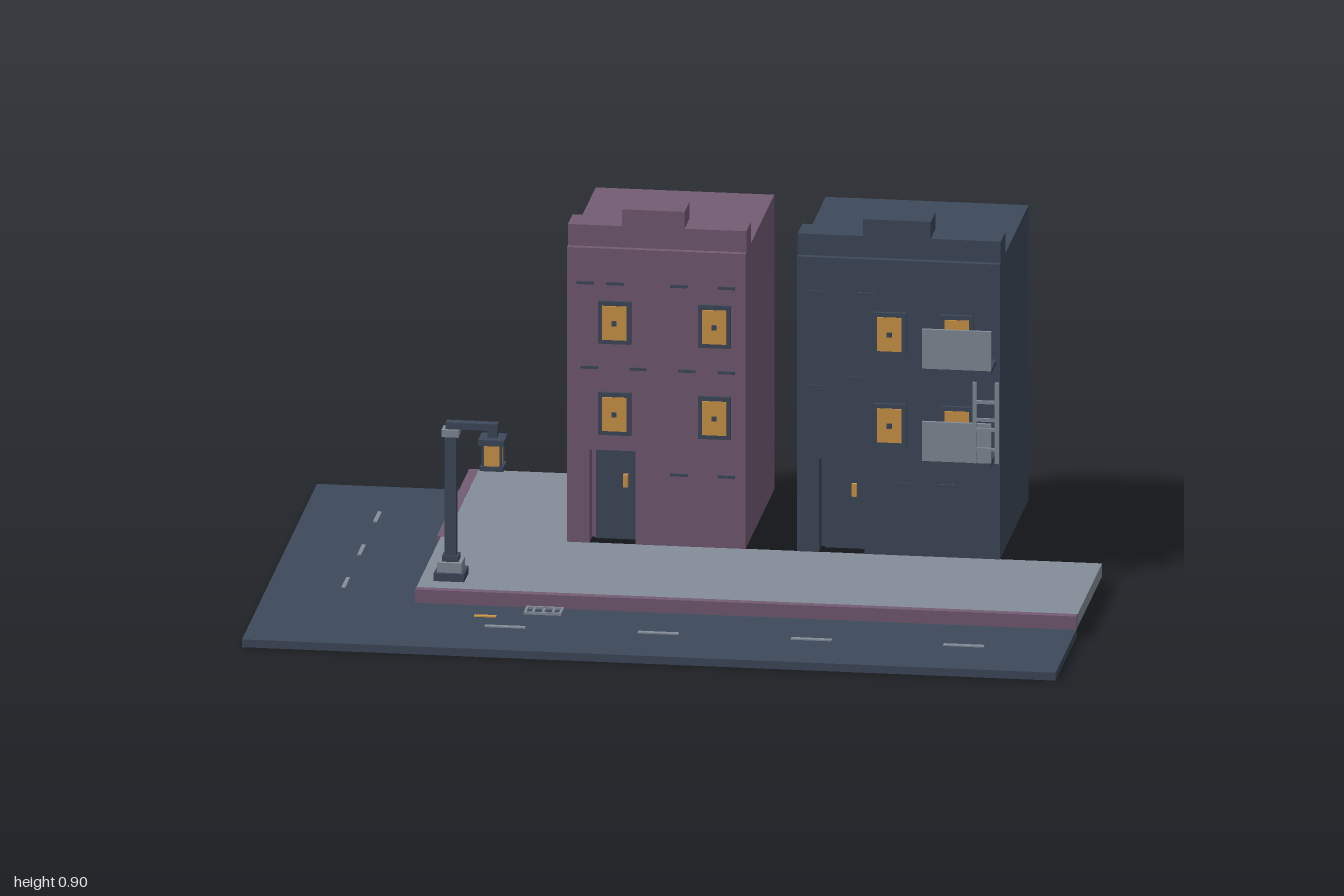
import * as THREE from 'three';

const mat = (name, color) => {
  const m = new THREE.MeshStandardMaterial({ color });
  m.name = name;
  return m;
};

export function createModel() {
  const navy = mat('navy', 0x3d495a);
  const plum = mat('plum', 0x745c74);
  const grey = mat('grey', 0x848d99);
  const amber = mat('amber', 0xd2984a);

  const model = new THREE.Group();
  model.name = 'streetCorner';
  const group = (name, parent = model) => {
    const g = new THREE.Group();
    g.name = name;
    parent.add(g);
    return g;
  };
  // Box given by its [min, max] extents on each axis
  const box = (parent, name, m, [x0, x1], [y0, y1], [z0, z1]) => {
    const mesh = new THREE.Mesh(new THREE.BoxGeometry(x1 - x0, y1 - y0, z1 - z0), m);
    mesh.position.set((x0 + x1) / 2, (y0 + y1) / 2, (z0 + z1) / 2);
    mesh.name = name;
    parent.add(mesh);
    return mesh;
  };
  const around = (c, size) => [c - size / 2, c + size / 2];
  // L-shaped slab: points are [x, z] on plan
  const slab = (parent, name, m, points, y, height) => {
    const shape = new THREE.Shape(points.map(([x, z]) => new THREE.Vector2(x, -z)));
    const geo = new THREE.ExtrudeGeometry(shape, { depth: height, bevelEnabled: false });
    geo.rotateX(-Math.PI / 2);
    const mesh = new THREE.Mesh(geo, m);
    mesh.position.y = y;
    mesh.name = name;
    parent.add(mesh);
  };

  // Ground
  const GROUND = 0.02, WALK = 0.053;
  const street = group('street');
  slab(street, 'road', navy,
    [[-1, 0.685], [1, 0.685], [1, 0.315], [-0.625, 0.315], [-0.625, -0.625], [-1, -0.625]], 0, GROUND);
  slab(street, 'sidewalk', grey,
    [[-0.625, 0.303], [1, 0.303], [1, -0.127], [-0.315, -0.127], [-0.315, -0.69],
      [-0.612, -0.69], [-0.612, -0.127], [-0.625, -0.127]], GROUND, WALK - GROUND);
  box(street, 'frontCurb', plum, [-0.625, 1], [GROUND, WALK + 0.001], [0.303, 0.324]);
  box(street, 'sideCurb', plum, [-0.635, -0.612], [GROUND, WALK + 0.001], [-0.69, -0.127]);

  // Road markings
  const mark = [GROUND, GROUND + 0.003];
  for (const x of [-0.38, -0.003, 0.373, 0.748]) box(street, 'laneMark', grey, around(x, 0.1), mark, around(0.495, 0.014));
  for (const z of [-0.368, -0.09, 0.185]) box(street, 'laneMark', grey, around(-0.815, 0.01), mark, around(z, 0.084));
  box(street, 'paperScrap', amber, [-0.467, -0.413], mark, [0.408, 0.42]);

  // Drain grate
  const drain = group('drain', street);
  const grate = [GROUND, GROUND + 0.006];
  for (const z of [0.332, 0.38]) box(drain, 'drainFrame', grey, [-0.35, -0.258], grate, around(z, 0.006));
  for (const x of [-0.347, -0.261]) box(drain, 'drainFrame', grey, around(x, 0.006), grate, [0.335, 0.377]);
  for (const x of [-0.328, -0.304, -0.28]) box(drain, 'drainBar', grey, around(x, 0.006), grate, [0.341, 0.371]);

  // Buildings
  const FRONT = -0.125, RECESS = 0.05, ROOF = 0.803;
  const window_ = (parent, x, y) => {
    const w = group('window', parent);
    box(w, 'windowFrame', navy, around(x, 0.08), around(y, 0.108), [FRONT, FRONT + 0.009]);
    box(w, 'windowGlass', amber, around(x, 0.06), around(y, 0.086), [FRONT + 0.009, FRONT + 0.012]);
    box(w, 'windowLatch', navy, around(x, 0.012), around(y, 0.012), [FRONT + 0.012, FRONT + 0.017]);
  };
  const building = (name, wall, [x0, x1], crown, door, windowXs, bricks) => {
    const b = group(name);
    box(b, 'body', wall, [x0, x1], [WALK, ROOF], [-0.627, FRONT - RECESS]);
    // Facade with an open doorway
    const [d0, d1] = door, top = 0.29;
    const shape = new THREE.Shape([[x0, WALK], [d0, WALK], [d0, top], [d1, top], [d1, WALK],
      [x1, WALK], [x1, ROOF], [x0, ROOF]].map(([x, y]) => new THREE.Vector2(x, y)));
    const facade = new THREE.Mesh(new THREE.ExtrudeGeometry(shape, { depth: RECESS, bevelEnabled: false }), wall);
    facade.position.z = FRONT - RECESS;
    facade.name = 'facade';
    b.add(facade);
    box(b, 'door', navy, [d0 + 0.01, d1], [WALK, top - 0.002], [FRONT - RECESS, FRONT - RECESS + 0.009]);
    box(b, 'doorHandle', amber, around(d1 - 0.03, 0.012), [0.188, 0.22], [FRONT - RECESS + 0.009, FRONT - RECESS + 0.02]);
    // Stepped parapet
    box(b, 'parapet', wall, [x0, x1], [ROOF, 0.857], [-0.222, -0.14]);
    box(b, 'parapetCrown', wall, crown, [0.857, 0.9], [-0.222, -0.14]);
    for (const x of windowXs) for (const y of [0.385, 0.617]) window_(b, x, y);
    for (const [x, y] of bricks) box(b, 'brick', navy, around(x, 0.042), around(y, 0.007), [FRONT, FRONT + 0.005]);
    return b;
  };
  building('plumBuilding', plum, [-0.315, 0.124], [-0.182, -0.028], [-0.26, -0.146], [-0.197, 0.048],
    [[-0.27, 0.715], [-0.197, 0.715], [-0.04, 0.715], [0.077, 0.715],
      [-0.26, 0.5], [-0.14, 0.5], [-0.02, 0.5], [0.077, 0.5], [-0.04, 0.235], [0.077, 0.235]]);
  const second = building('navyBuilding', navy, [0.25, 0.749], [0.41, 0.577], [0.304, 0.416], [0.479, 0.645],
    [[0.3, 0.715], [0.42, 0.715], [0.3, 0.475], [0.4, 0.5], [0.52, 0.235], [0.62, 0.235]]);

  // Balconies and ladder
  for (const y of [0.315, 0.55]) {
    const balcony = group('balcony', second);
    box(balcony, 'balconyFloor', navy, [0.57, 0.74], [y, y + 0.011], [FRONT, -0.038]);
    box(balcony, 'balconyPanel', grey, [0.57, 0.74], [y + 0.008, y + 0.108], [-0.044, -0.036]);
  }
  const ladder = group('ladder', second);
  for (const x of [0.7, 0.755]) box(ladder, 'ladderRail', grey, around(x, 0.01), [0.325, 0.53], [-0.036, -0.028]);
  for (const y of [0.36, 0.41, 0.435, 0.48]) box(ladder, 'ladderRung', grey, [0.705, 0.75], around(y, 0.008), [-0.035, -0.029]);

  // Street lamp
  const lamp = group('streetLamp');
  const X = -0.553, Z = 0.208, LX = -0.45;
  const block = (name, m, x, size, y) => box(lamp, name, m, around(x, size), y, around(Z, size));
  block('lampBase', navy, X, 0.075, [WALK, 0.073]);
  block('lampPlinth', grey, X, 0.06, [0.073, 0.098]);
  block('lampCollar', navy, X, 0.04, [0.098, 0.112]);
  block('lampPost', navy, X, 0.028, [0.112, 0.43]);
  block('lampCap', grey, X, 0.042, [0.415, 0.433]);
  box(lamp, 'lampArm', navy, [-0.565, -0.437], [0.433, 0.45], around(Z, 0.024));
  block('lanternHanger', navy, LX, 0.024, [0.414, 0.433]);
  block('lanternRoof', navy, LX, 0.064, [0.4, 0.415]);
  block('lanternGlass', amber, LX, 0.044, [0.346, 0.4]);
  block('lanternBase', navy, LX, 0.058, [0.335, 0.346]);
  for (const sx of [-1, 1]) for (const sz of [-1, 1])
    box(lamp, 'lanternPost', navy, around(LX + sx * 0.022, 0.006), [0.346, 0.4], around(Z + sz * 0.022, 0.006));

  return model;
}
